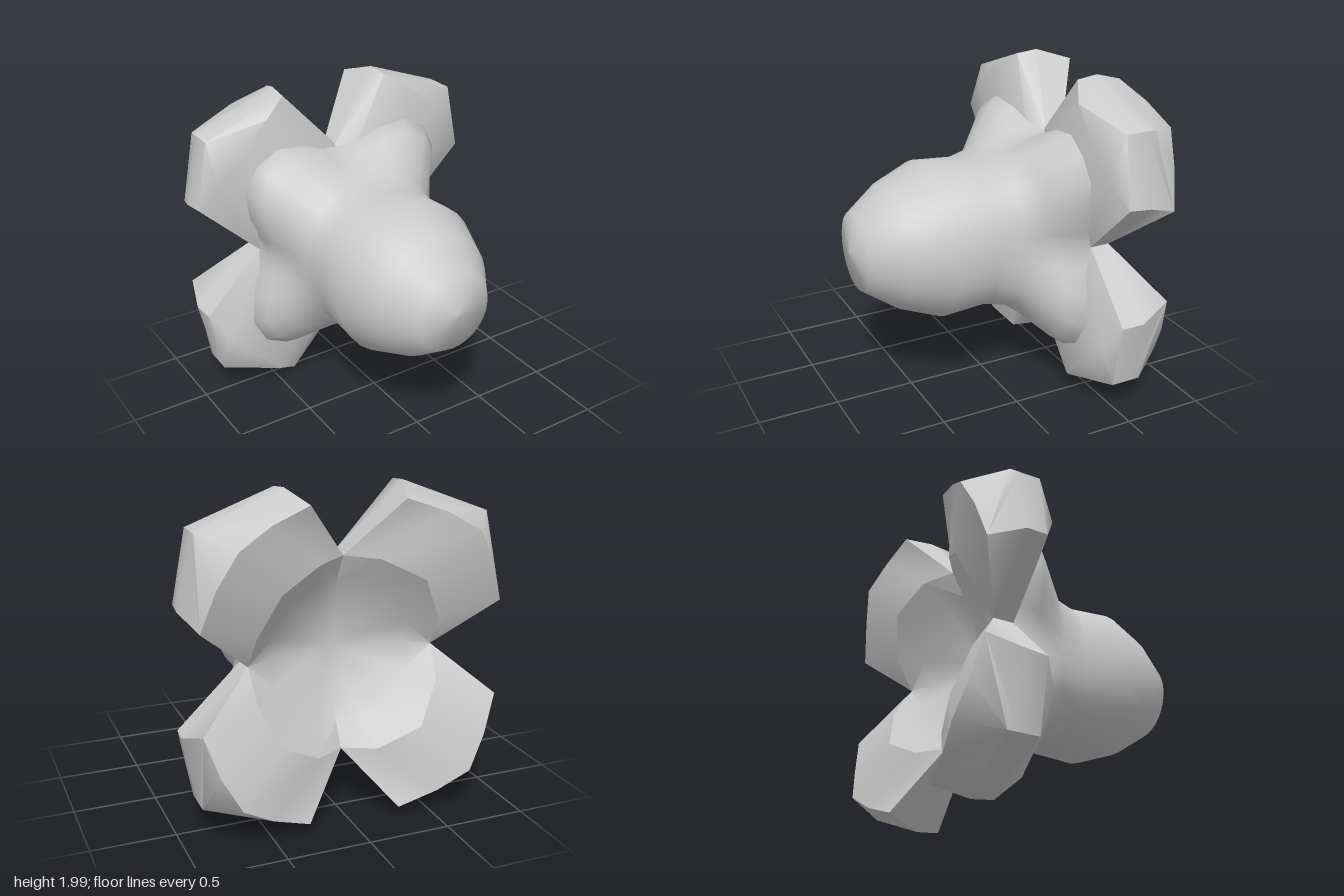
import * as THREE from 'three';
import { mergeGeometries, toCreasedNormals } from 'three/addons/utils/BufferGeometryUtils.js';

// Skin between rows of [x, y, z] points; flip reverses the faces
function loft(rows, closed, flip) {
  const n = rows[0].length, index = [];
  for (let i = 0; i < rows.length - 1; i++) {
    for (let j = 0; j < (closed ? n : n - 1); j++) {
      const k = (j + 1) % n, a = i * n, b = a + n;
      const corners = [a + j, b + j, b + k, a + j, b + k, a + k];
      index.push(...(flip ? corners.reverse() : corners));
    }
  }
  const g = new THREE.BufferGeometry();
  g.setAttribute('position', new THREE.Float32BufferAttribute(rows.flat(2), 3));
  g.setIndex(index);
  return g;
}

// Domed stem, spreading along the diagonals where it runs out onto the arms
function stemGeometry() {
  // z, radius towards the gaps, extra radius towards the arms
  const rings = [
    [-0.5, 0.575, 0.2], [-0.36, 0.56, 0.32], [-0.27, 0.53, 0.27], [-0.16, 0.5, 0.16],
    [-0.05, 0.47, 0.05], [0.11, 0.455, 0.02], [0.38, 0.48, 0.01], [0.62, 0.39, 0],
    [0.83, 0.24, 0], [0.87, 0, 0],
  ];
  const sides = 32;
  const rows = rings.map(([z, r, spread]) => Array.from({ length: sides }, (_, j) => {
    const t = (j / sides) * Math.PI * 2;
    const radius = r + spread * Math.sin(2 * t) ** 2;
    return [radius * Math.cos(t), radius * Math.sin(t), z];
  }));
  const g = loft(rows, true, true);
  g.computeVertexNormals();
  return g;
}

export function createModel() {
  const group = new THREE.Group();
  const material = new THREE.MeshStandardMaterial({ color: 0xcccccc });
  const add = (name, geometry, mat = material) => {
    const mesh = new THREE.Mesh(geometry, mat);
    mesh.name = name;
    group.add(mesh);
  };
  add('stem', stemGeometry());

  // Half cross-section of an arm, front to back, as [reach, half width, z]
  const innerHalf = [
    [0.2, 0, -0.34], [0.25, 0.25, -0.36], [0.415, 0.415, -0.45], [0.415, 0.415, -0.57],
    [0.415, 0.415, -0.575], [0.54, 0.27, -0.69], [0.63, 0, -0.76],
  ];
  const outerHalf = [
    [1.0, 0, -0.34], [1.0, 0.25, -0.36], [0.955, 0.43, -0.445], [0.96, 0.445, -0.58],
    [0.86, 0.45, -0.79], [0.97, 0.22, -0.83], [1.03, 0, -0.87],
  ];
  const wholeRing = (half) =>
    [...half, ...half.slice(1, -1).reverse().map(([d, p, z]) => [d, -p, z])];
  const inner = wholeRing(innerHalf);
  const outer = wholeRing(outerHalf);
  const ridge = outer.map(([, , z]) => [1.195, -0.075, THREE.MathUtils.clamp(z, -0.64, -0.45)]);
  const armRows = [inner, outer, ridge];

  // Quarter of the hollow back, from the centre out to the arm's inner rim
  const rim = inner.slice(4, 9);
  const depth = -0.4;
  const bowlRows = [0, 0.25, 0.5, 0.75, 1].map((t) =>
    rim.map(([d, p, z]) => [d * t, p * t, depth + (z - depth) * t * t]));

  // Four arms mirrored onto the diagonals
  const quarters = [];
  for (const sx of [1, -1]) {
    for (const sy of [1, -1]) {
      const place = ([d, p, z]) => [sx * (d - p) * 0.69, sy * (d + p) * 0.707, z];
      const build = (rows, closed) => loft(rows.map((row) => row.map(place)), closed, sx * sy < 0);
      const name = (sy > 0 ? 'upper' : 'lower') + (sx > 0 ? 'Left' : 'Right') + 'Arm';
      add(name, toCreasedNormals(build(armRows, true), 0.95));
      quarters.push(build(bowlRows, false));
    }
  }
  const thin = material.clone();
  thin.side = THREE.DoubleSide;
  add('backHollow', toCreasedNormals(mergeGeometries(quarters), 0.9), thin);

  group.position.y = 1.005;
  const model = new THREE.Group();
  model.add(group);
  return model;
}
